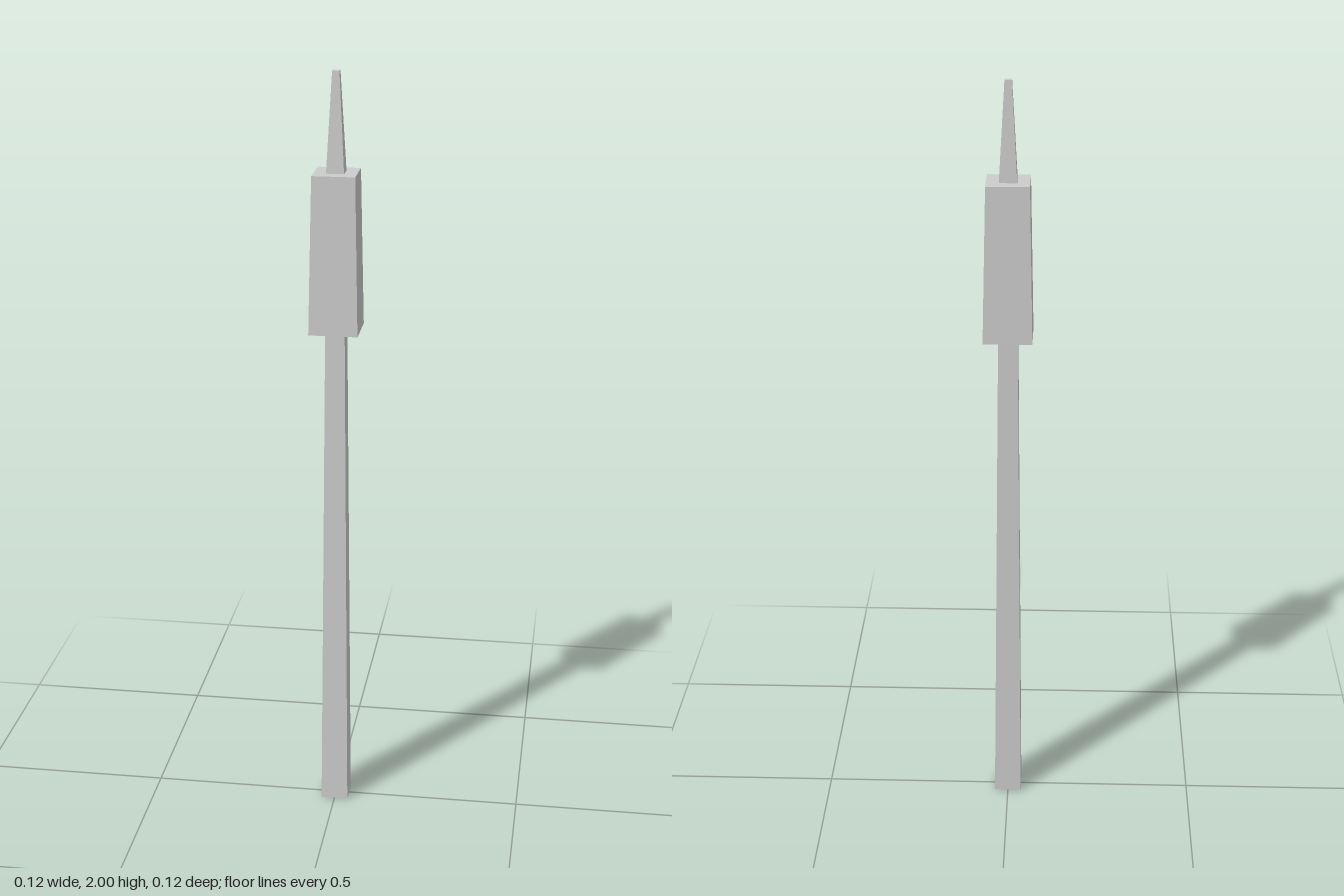
import * as THREE from 'three';

const material = new THREE.MeshStandardMaterial({ color: 0xcccccc, flatShading: true, side: THREE.DoubleSide });

// Square tapered block between two heights, given its half widths
function taperedBlock(name, y0, y1, half0, half1, open = false) {
  const geometry = new THREE.CylinderGeometry(half1 * Math.SQRT2, half0 * Math.SQRT2, y1 - y0, 4, 1, open);
  geometry.rotateY(Math.PI / 4);
  geometry.translate(0, (y0 + y1) / 2, 0);
  const mesh = new THREE.Mesh(geometry, material);
  mesh.name = name;
  return mesh;
}

export function createModel() {
  const model = new THREE.Group();
  model.name = 'tower';
  model.add(
    // Long slender shaft, hollow and open at the foot
    taperedBlock('shaft', 0, 1.345, 0.036, 0.025, true),
    // Wider closed block near the top
    taperedBlock('upperBlock', 1.345, 1.75, 0.0625, 0.0545),
    // Blunt spire
    taperedBlock('spire', 1.75, 2, 0.0225, 0.009),
  );
  return model;
}
